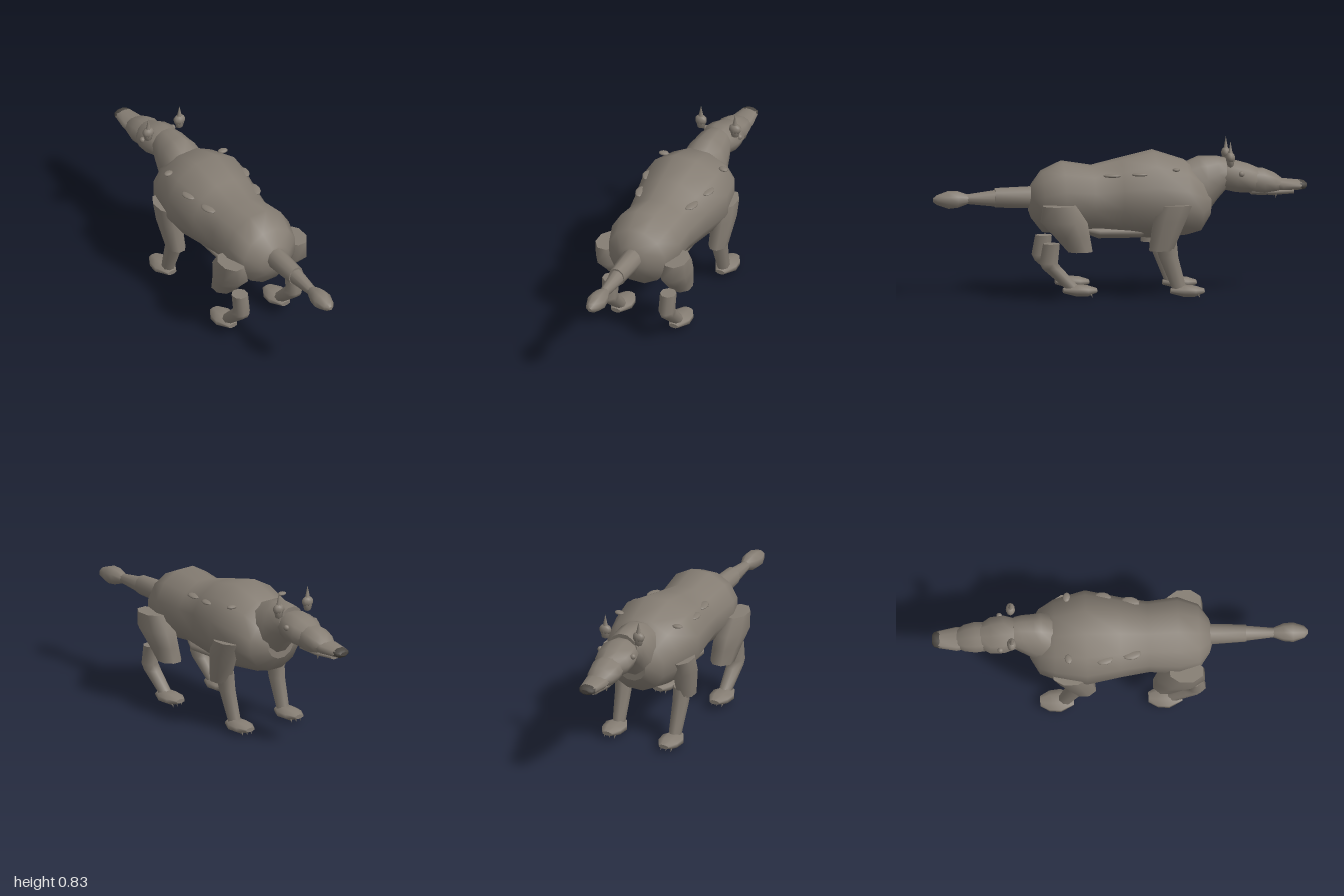
import * as THREE from 'three';

const fur = new THREE.MeshStandardMaterial({ color: 0x857d73 });
fur.name = 'greyBrownFur';
const dark = new THREE.MeshStandardMaterial({ color: 0x4b4742 });
dark.name = 'darkNose';

// Skin through elliptical rings [t, lo, hi, cx, rx]; t runs along axis 'z' (lo/hi = y) or 'y' (lo/hi = z).
function loft(rings, axis = 'z', sides = 12) {
  const rows = [...rings].sort((a, b) => a[0] - b[0]);
  const pos = [], idx = [];
  const grow = 1 / Math.cos(Math.PI / sides);
  const addRing = ([t, lo, hi, cx, rx]) => {
    const start = pos.length / 3;
    for (let j = 0; j < sides; j++) {
      const a = ((j + 0.5) / sides) * Math.PI * 2;
      const s = Math.sin(a) * rx;
      const c = (lo + hi) / 2 + Math.cos(a) * grow * (hi - lo) / 2;
      if (axis === 'z') pos.push(cx + s, c, t);
      else pos.push(cx - s, t, c);
    }
    return start;
  };
  const starts = rows.map(addRing);
  for (let i = 0; i < starts.length - 1; i++) {
    for (let j = 0; j < sides; j++) {
      const k = (j + 1) % sides;
      const a = starts[i] + j, b = starts[i + 1] + j;
      const c = starts[i] + k, d = starts[i + 1] + k;
      idx.push(a, b, c, c, b, d);
    }
  }
  // flat end caps
  [rows[0], rows[rows.length - 1]].forEach((row, end) => {
    const s = addRing(row);
    for (let j = 1; j < sides - 1; j++) {
      if (end) idx.push(s, s + j + 1, s + j);
      else idx.push(s, s + j, s + j + 1);
    }
  });
  const g = new THREE.BufferGeometry();
  g.setAttribute('position', new THREE.Float32BufferAttribute(pos, 3));
  g.setIndex(idx);
  g.computeVertexNormals();
  return g;
}

export function createModel() {
  const model = new THREE.Group();
  model.name = 'animal';
  const add = (name, geometry, material = fur, parent = model) => {
    const m = new THREE.Mesh(geometry, material);
    m.name = name;
    parent.add(m);
    return m;
  };
  const blob = (name, x, y, z, rx, ry, rz, material = fur, parent = model) => {
    const m = add(name, new THREE.SphereGeometry(1, 10, 7), material, parent);
    m.position.set(x, y, z);
    m.scale.set(rx, ry, rz);
    return m;
  };

  // trunk
  add('body', loft([
    [-0.48, 0.42, 0.58, 0, 0.09],
    [-0.43, 0.345, 0.645, 0, 0.175],
    [-0.35, 0.325, 0.715, 0, 0.215],
    [-0.18, 0.31, 0.77, 0, 0.253],
    [0, 0.33, 0.73, 0, 0.215],
    [0.15, 0.35, 0.695, 0, 0.19],
    [0.31, 0.34, 0.72, 0, 0.205],
    [0.42, 0.35, 0.67, 0, 0.17],
    [0.475, 0.42, 0.6, 0, 0.09],
    [0.49, 0.46, 0.56, 0, 0.04],
  ]));
  add('belly', loft([
    [-0.15, 0.33, 0.38, 0, 0.08],
    [-0.1, 0.31, 0.39, 0, 0.125],
    [0.12, 0.31, 0.39, 0, 0.125],
    [0.2, 0.34, 0.38, 0, 0.08],
  ]));
  add('neck', loft([
    [-0.34, 0.42, 0.7, 0, 0.13],
    [-0.42, 0.41, 0.735, 0, 0.125],
    [-0.46, 0.43, 0.735, 0, 0.115],
    [-0.52, 0.51, 0.735, 0, 0.1],
    [-0.565, 0.56, 0.725, 0, 0.085],
  ]));

  // head
  add('skull', loft([
    [-0.55, 0.56, 0.7, 0, 0.085],
    [-0.62, 0.545, 0.71, 0, 0.107],
    [-0.69, 0.54, 0.69, 0, 0.103],
    [-0.76, 0.54, 0.66, 0, 0.06],
  ], 'z', 10));
  add('muzzle', loft([
    [-0.7, 0.53, 0.67, 0, 0.08],
    [-0.77, 0.525, 0.665, 0, 0.087],
    [-0.83, 0.535, 0.64, 0, 0.075],
    [-0.87, 0.55, 0.61, 0, 0.05],
  ], 'z', 10));
  add('snout', loft([
    [-0.82, 0.55, 0.615, 0, 0.06],
    [-0.87, 0.545, 0.61, 0, 0.068],
    [-0.97, 0.55, 0.6, 0, 0.048],
  ], 'z', 10));
  add('lowerJaw', loft([
    [-0.7, 0.53, 0.57, 0, 0.06],
    [-0.82, 0.525, 0.56, 0, 0.055],
    [-0.93, 0.53, 0.56, 0, 0.035],
  ], 'z', 8));
  add('nose', loft([
    [-0.945, 0.56, 0.595, 0, 0.04],
    [-0.965, 0.55, 0.602, 0, 0.05],
    [-0.99, 0.555, 0.595, 0, 0.042],
    [-1, 0.565, 0.585, 0, 0.025],
  ], 'z', 8), dark);

  // tail
  add('tailBase', loft([
    [0.46, 0.475, 0.59, 0, 0.057], [0.67, 0.482, 0.583, 0, 0.046],
  ], 'z', 10));
  add('tailMiddle', loft([
    [0.65, 0.485, 0.575, 0, 0.043], [0.84, 0.505, 0.55, 0, 0.024],
  ], 'z', 10));
  add('tailTip', loft([
    [0.81, 0.505, 0.55, 0, 0.025],
    [0.87, 0.485, 0.57, 0, 0.048],
    [0.92, 0.48, 0.57, 0, 0.053],
    [0.98, 0.5, 0.55, 0, 0.033],
    [1, 0.515, 0.535, 0, 0.01],
  ], 'z', 8));

  for (const s of [1, -1]) {
    const side = s > 0 ? 'left' : 'right';

    // ears, eyes and teeth
    const ear = add(side + 'Ear', new THREE.LatheGeometry(
      [[0, 0], [0.02, 0.01], [0.031, 0.055], [0.013, 0.085], [0, 0.145]]
        .map(([r, y]) => new THREE.Vector2(r, y)), 8));
    ear.position.set(s * 0.1, 0.685, -0.58);
    ear.scale.z = 0.8;
    blob(side + 'EarRoot', s * 0.1, 0.74, -0.58, 0.034, 0.03, 0.025);
    blob(side + 'Eye', s * 0.097, 0.65, -0.64, 0.016, 0.016, 0.016);
    const tooth = add(side + 'Tooth', new THREE.ConeGeometry(0.008, 0.03, 6));
    tooth.position.set(s * 0.04, 0.525, -0.83);
    tooth.rotation.x = Math.PI;

    // small ridges along the back
    [[0.15, 0.66, 0.06, 0.05], [0.178, 0.668, -0.085, 0.045], [0.175, 0.69, -0.28, 0.02]]
      .forEach(([x, y, z, l]) => {
        const ridge = blob(side + 'BackRidge', s * x, y, z, 0.028, 0.01, l);
        ridge.rotation.y = -s * 0.2;
      });

    // front leg
    const front = new THREE.Group();
    front.name = side + 'FrontLeg';
    model.add(front);
    add('shoulder', loft([
      [0.505, -0.36, -0.18, s * 0.2, 0.06],
      [0.42, -0.325, -0.155, s * 0.2, 0.062],
      [0.26, -0.26, -0.135, s * 0.185, 0.05],
    ], 'y', 8), fur, front);
    add('lowerLeg', loft([
      [0.32, -0.28, -0.16, s * 0.175, 0.046],
      [0.22, -0.29, -0.19, s * 0.172, 0.042],
      [0.05, -0.335, -0.26, s * 0.168, 0.033],
    ], 'y', 8), fur, front);

    // hind leg
    const hind = new THREE.Group();
    hind.name = side + 'HindLeg';
    model.add(hind);
    add('thigh', loft([
      [0.51, 0.26, 0.435, s * 0.2, 0.066],
      [0.42, 0.2, 0.445, s * 0.188, 0.082],
      [0.34, 0.185, 0.37, s * 0.178, 0.074],
      [0.26, 0.17, 0.3, s * 0.172, 0.064],
    ], 'y', 8), fur, hind);
    add('shin', loft([
      [0.305, 0.345, 0.43, s * 0.17, 0.044],
      [0.2, 0.355, 0.45, s * 0.168, 0.043],
      [0.17, 0.33, 0.435, s * 0.168, 0.043],
      [0.06, 0.23, 0.31, s * 0.168, 0.034],
    ], 'y', 8), fur, hind);

    // feet with claws; z is the toe end
    [[front, -0.43, 0.01], [hind, 0.145, 0.022]].forEach(([leg, z, y]) => {
      add('foot', loft([
        [z, y + 0.018, y + 0.04, s * 0.17, 0.03],
        [z + 0.05, y, y + 0.055, s * 0.17, 0.06],
        [z + 0.11, y, y + 0.06, s * 0.17, 0.066],
        [z + 0.18, y + 0.018, y + 0.042, s * 0.17, 0.028],
      ], 'z', 8), fur, leg);
      for (const i of [-1, 0, 1]) {
        const claw = add('claw', new THREE.ConeGeometry(0.006, 0.025, 5), fur, leg);
        claw.position.set(s * 0.17 + i * 0.03, y + 0.003, z + 0.03);
        claw.rotation.x = Math.PI + 0.5;
      }
    });
  }
  return model;
}
